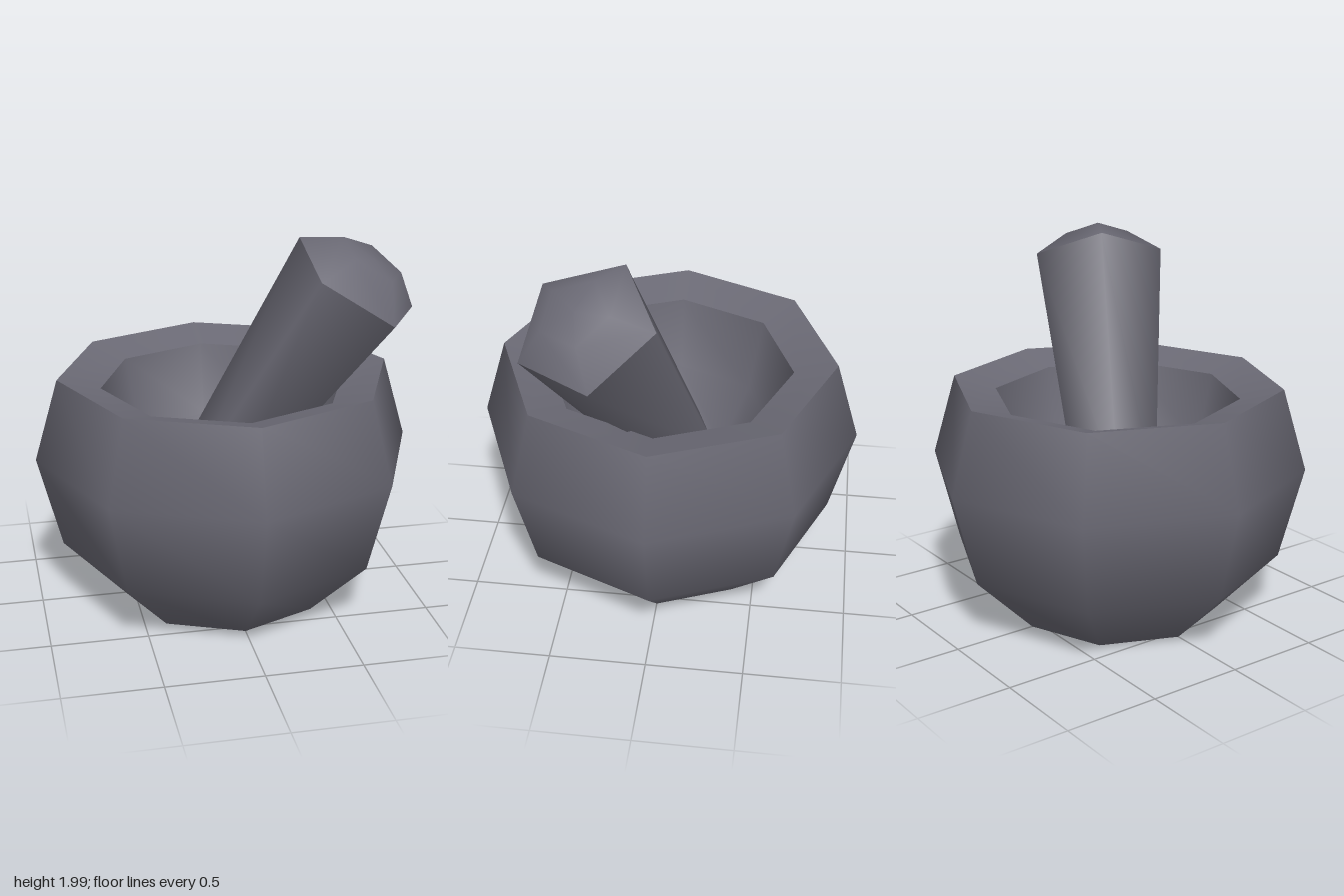
import * as THREE from 'three';

const stone = new THREE.MeshStandardMaterial({ color: 0x6b6a75 });
stone.name = 'greyStone';

// Revolve one smooth stretch of profile; separate stretches keep hard edges between them.
function turned(name, sides, points) {
  const profile = points.map(([r, y]) => new THREE.Vector2(r, y));
  const mesh = new THREE.Mesh(new THREE.LatheGeometry(profile, sides), stone);
  mesh.name = name;
  return mesh;
}

function createMortar() {
  const mortar = new THREE.Group();
  mortar.name = 'mortar';
  mortar.add(
    turned('bowlOuterWall', 8, [[0.55, 0], [0.875, 0.33], [1, 0.82], [0.875, 1.25]]),
    turned('bowlRim', 8, [[0.875, 1.25], [0.65, 1.19]]),
    turned('bowlInnerWall', 8, [[0.65, 1.19], [0.56, 0.8], [0.37, 0.5]]),
    turned('bowlFloor', 8, [[0.37, 0.5], [0, 0.5]]),
    // hollow foot
    turned('footWall', 8, [[0.37, 0.17], [0.55, 0]]),
    turned('footCeiling', 8, [[0, 0.17], [0.37, 0.17]])
  );
  return mortar;
}

function createPestle() {
  const pestle = new THREE.Group();
  pestle.name = 'pestle';
  const length = 1.373, top = 0.361, tip = 0.217;
  pestle.add(
    turned('pestleTip', 5, [[0, 0], [tip, 0]]),
    turned('pestleShaft', 5, [[tip, 0], [top, length]]),
    turned('pestleHead', 5, [[top, length], [top / 2, length + 0.14], [0, length + 0.145]])
  );

  // Lean the pestle towards the front left, with one corner of its pentagon uppermost
  const axis = new THREE.Vector3(0.485, 0.834, 0.262).normalize();
  const side = new THREE.Vector3().crossVectors(axis, new THREE.Vector3(-0.26, 0.196, -0.156)).normalize();
  const corner = new THREE.Vector3().crossVectors(side, axis);
  pestle.quaternion.setFromRotationMatrix(new THREE.Matrix4().makeBasis(side, axis, corner));
  pestle.position.set(-0.056, 0.629, -0.044);
  return pestle;
}

export function createModel() {
  const model = new THREE.Group();
  model.name = 'mortarAndPestle';
  model.add(createMortar(), createPestle());
  return model;
}
